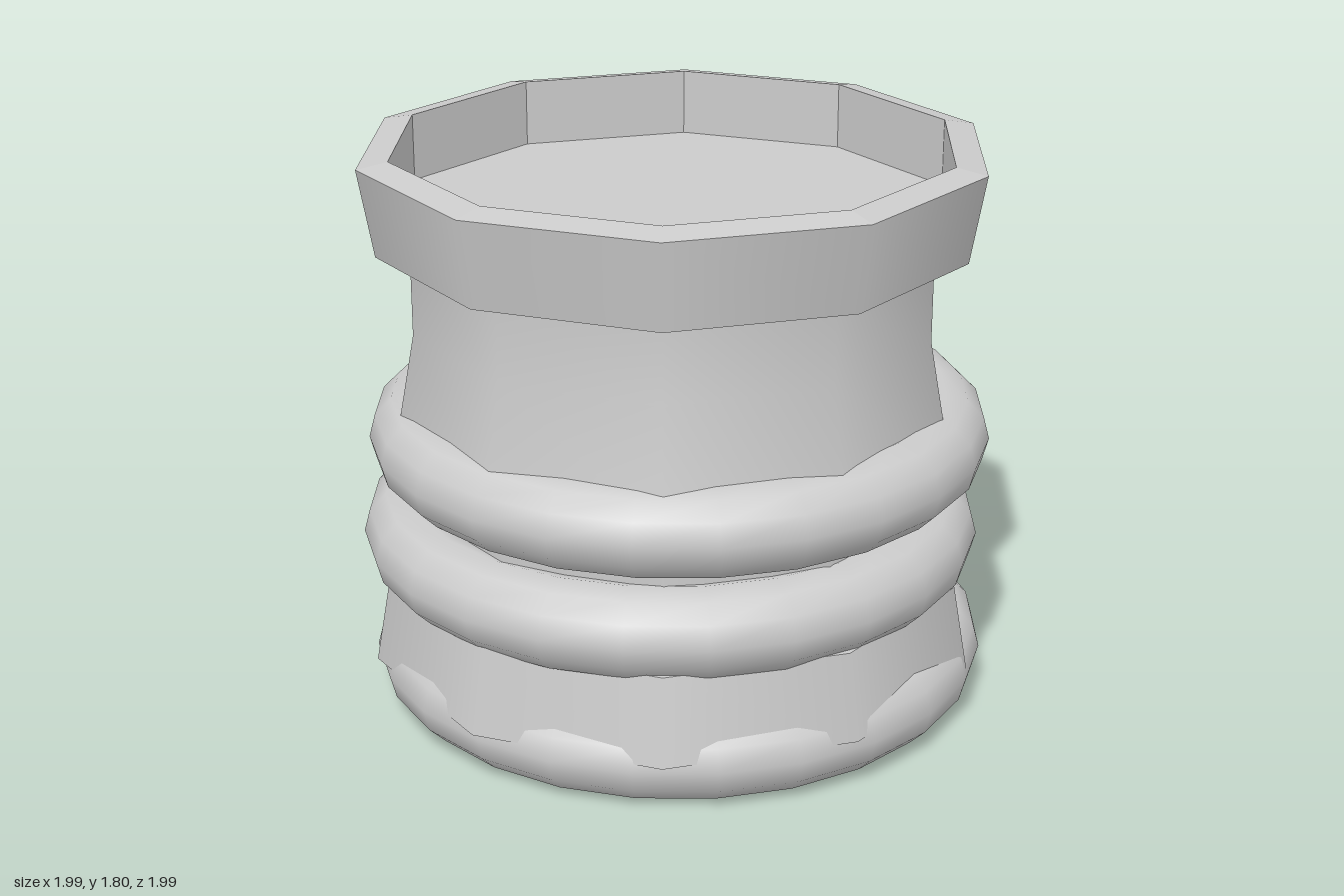
import * as THREE from 'three';

const SIDES = 10;
const material = new THREE.MeshStandardMaterial({ color: 0xcccccc });

// One ten-sided band turned from [radius, height] points, with vertices on the x axis
function band(name, points, flat = false) {
  let geometry = new THREE.LatheGeometry(
    points.map(([r, y]) => new THREE.Vector2(r, y)), SIDES, Math.PI / 2);
  if (flat) {
    geometry = geometry.toNonIndexed();
    geometry.computeVertexNormals();
  }
  const mesh = new THREE.Mesh(geometry, material);
  mesh.name = name;
  return mesh;
}

// Rounded ring lying flat around the body
function ring(name, x, y, z) {
  const geometry = new THREE.TorusGeometry(0.843, 0.142, 12, 24).rotateX(Math.PI / 2);
  const mesh = new THREE.Mesh(geometry, material);
  mesh.name = name;
  mesh.position.set(x, y, z);
  return mesh;
}

export function createModel() {
  const model = new THREE.Group();
  model.name = 'ringedPot';

  const body = new THREE.Group();
  body.name = 'body';
  body.position.set(-0.015, 0, 0.011);
  body.add(
    // Flared foot with a recessed underside
    band('footFloor', [[0, 0.365], [0.885, 0.365]]),
    band('footInnerWall', [[0.885, 0.365], [0.885, 0.155]], true),
    band('footLip', [[0.885, 0.155], [0.985, 0.17]], true),
    band('footSide', [[0.985, 0.17], [0.935, 0.445]]),
    band('footTop', [[0.935, 0.445], [0.83, 0.445]]),
    // Waist and flared neck
    band('waist', [[0.83, 0.445], [0.83, 0.88]]),
    band('neckUnderside', [[0.83, 0.88], [0.9, 0.88]]),
    band('neck', [[0.9, 0.88], [0.83, 1.25], [0.83, 1.51]]),
    // Rim with a shallow tray
    band('rimUnderside', [[0.83, 1.51], [0.935, 1.51]]),
    band('rimSide', [[0.935, 1.51], [0.983, 1.785]]),
    band('rimLip', [[0.983, 1.785], [0.885, 1.803]], true),
    band('rimInnerWall', [[0.885, 1.803], [0.885, 1.59]], true),
    band('trayFloor', [[0.885, 1.59], [0, 1.59]]),
  );
  model.add(body);

  // Three rings, each slightly off centre
  model.add(
    ring('lowerRing', 0.005, 0.143, 0.013),
    ring('middleRing', -0.015, 0.547, -0.005),
    ring('upperRing', 0.008, 0.868, 0.013),
  );
  return model;
}
